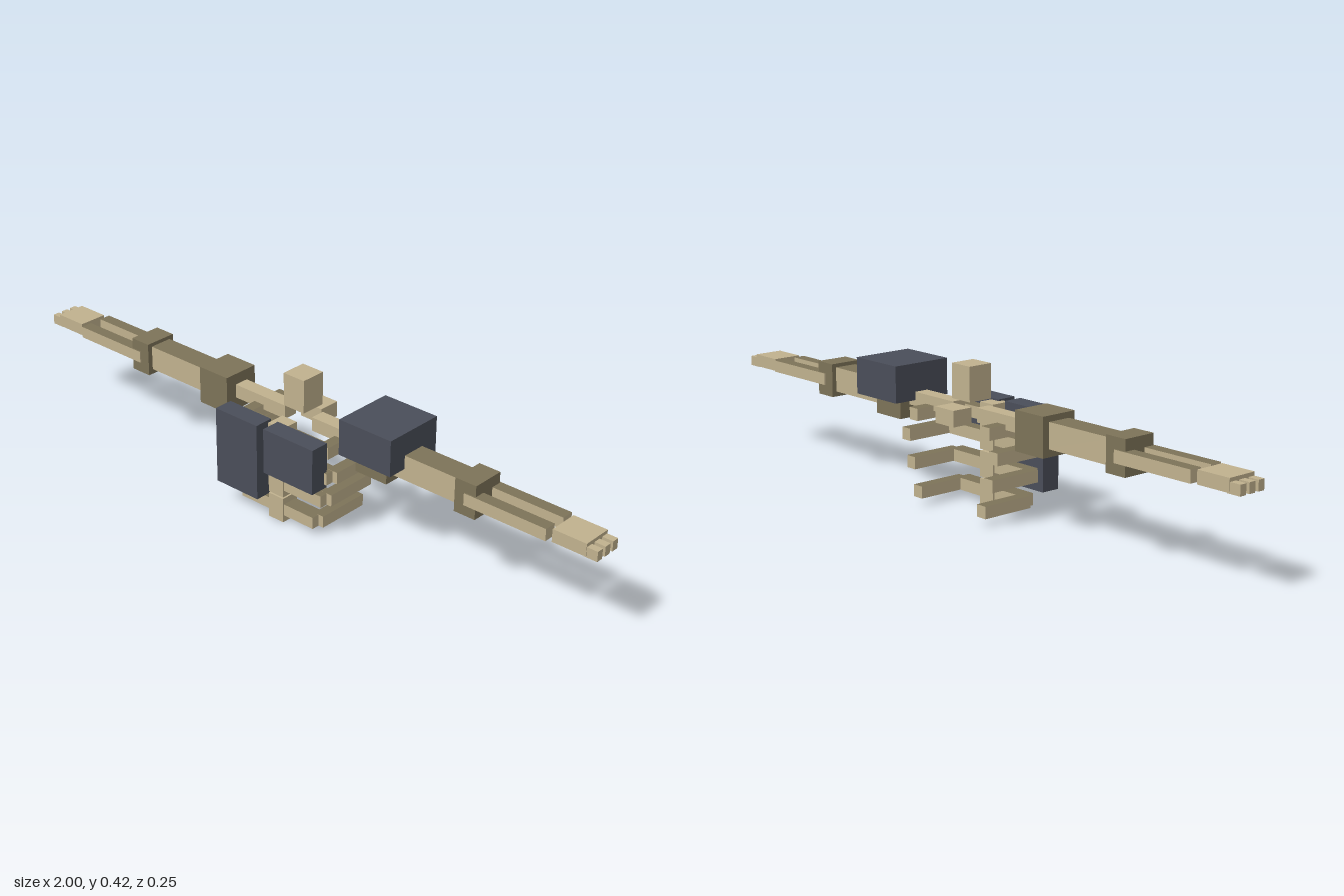
import * as THREE from 'three';

export function createModel() {
  const bone = new THREE.MeshStandardMaterial({ color: 0xc0b18e });
  bone.name = 'bone';
  const darkBone = new THREE.MeshStandardMaterial({ color: 0x7d7358 });
  darkBone.name = 'darkBone';
  const slate = new THREE.MeshStandardMaterial({ color: 0x4a4e59 });
  slate.name = 'slateArmour';
  // Pale sides with dark top and bottom faces
  const shaded = [bone, bone, darkBone, darkBone, bone, bone];

  const model = new THREE.Group();
  model.name = 'skeletonTorso';

  // Box between two limits on each axis
  function box(name, [x0, x1], [y0, y1], [z0, z1], material, parent = model) {
    const mesh = new THREE.Mesh(new THREE.BoxGeometry(x1 - x0, y1 - y0, z1 - z0), material);
    mesh.position.set((x0 + x1) / 2, (y0 + y1) / 2, (z0 + z1) / 2);
    mesh.name = name;
    parent.add(mesh);
  }
  const span = (side, a, b) => (side > 0 ? [a, b] : [-b, -a]);

  // Head and chest block
  box('head', [-0.037, 0.037], [0.317, 0.416], [-0.066, 0.011], bone);
  box('chestBlock', [-0.038, 0.038], [0.257, 0.303], [-0.125, -0.06], bone);

  // Spine
  for (const [y0, y1] of [[0, 0.075], [0.08, 0.155], [0.16, 0.235], [0.24, 0.295]]) {
    box('vertebra', [-0.027, 0.027], [y0, y1], [0.028, 0.084], bone);
  }

  // Ribs: a cross bar and a side bar on each side: [bottom, centre x]
  for (const [y, cx] of [[0.021, 0.134], [0.1, 0.163], [0.178, 0.183], [0.241, 0.15]]) {
    const rib = new THREE.Group();
    rib.name = 'rib';
    model.add(rib);
    for (const side of [1, -1]) {
      box('ribCrossBar', span(side, 0.02, cx), [y, y + 0.035], [0.033, 0.08], shaded, rib);
      box('ribSideBar', span(side, cx - 0.017, cx + 0.017), [y + 0.0005, y + 0.0355], [-0.11, 0.056], shaded, rib);
    }
  }

  // Arms
  for (const side of [1, -1]) {
    const arm = new THREE.Group();
    arm.name = side > 0 ? 'leftArm' : 'rightArm';
    model.add(arm);
    box('collarbone', span(side, 0.05, 0.245), [0.262, 0.303], [-0.052, -0.008], bone, arm);
    box('shoulder', span(side, 0.24, 0.347), [0.224, 0.336], [-0.085, 0.028], darkBone, arm);
    box('upperArm', span(side, 0.34, 0.58), [0.246, 0.319], [-0.064, 0.007], shaded, arm);
    box('elbow', span(side, 0.568, 0.635), [0.231, 0.33], [-0.078, 0.022], darkBone, arm);
    for (const dz of [-0.0365, 0.0365]) {
      box('forearmBone', span(side, 0.6, 0.855), [0.263, 0.298],
        [-0.0285 + dz - 0.018, -0.0285 + dz + 0.018], shaded, arm);
    }
    box('palm', span(side, 0.867, 0.968), [0.262, 0.299], [-0.073, 0.016], bone, arm);
    for (const z of [-0.061, -0.0285, 0.004]) {
      box('finger', span(side, 0.96, 1), [0.26, 0.289], [z - 0.0105, z + 0.0105], bone, arm);
    }
  }

  // Armour
  box('rightPlate', [-0.185, -0.03], [0.07, 0.3], [0.069, 0.127], slate);
  box('leftPlate', [-0.005, 0.174], [0.165, 0.3], [0.069, 0.127], slate);
  box('shoulderGuard', [0.213, 0.39], [0.279, 0.385], [-0.122, 0.066], slate);

  return model;
}
